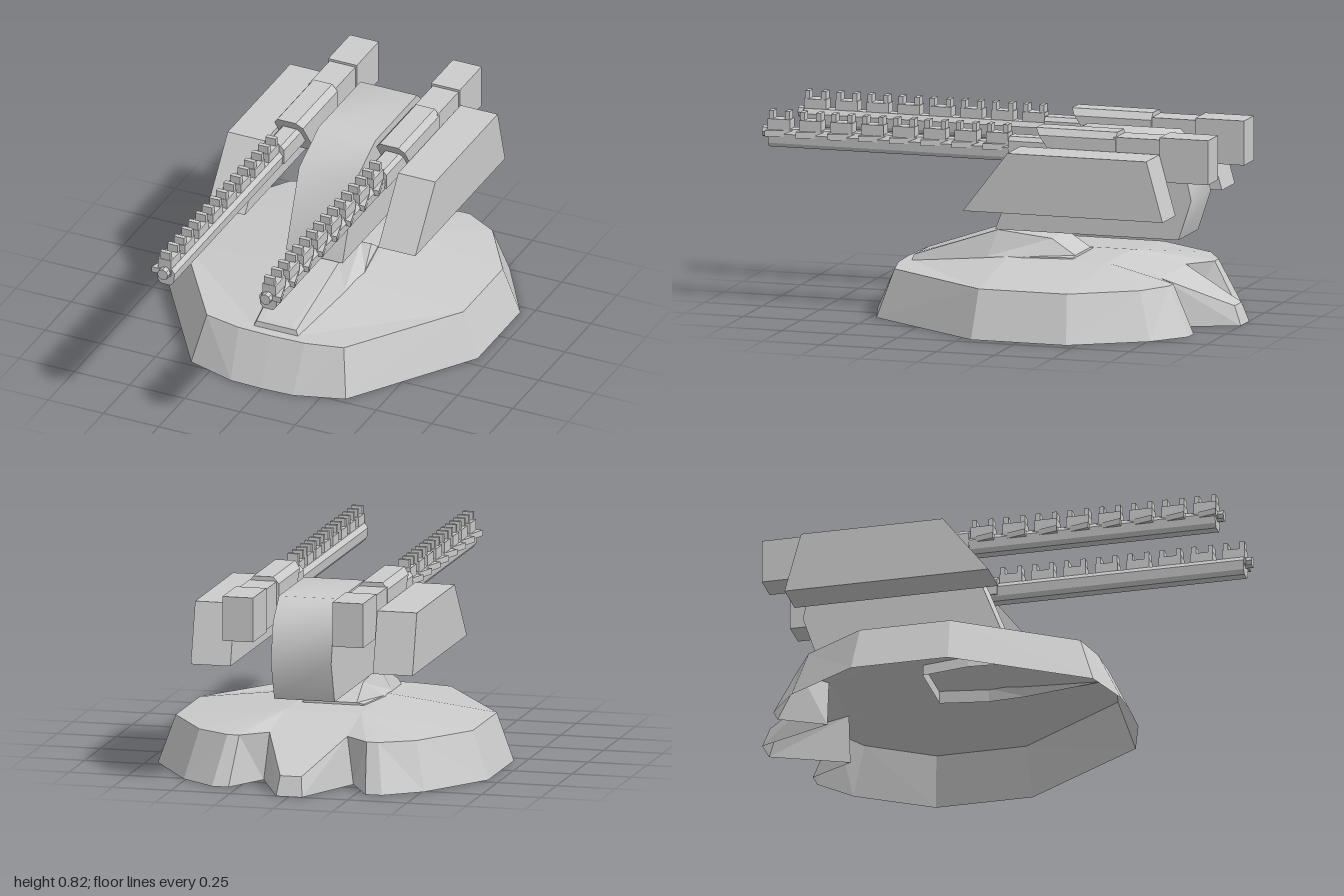
import * as THREE from 'three';
import { toCreasedNormals } from 'three/addons/utils/BufferGeometryUtils.js';

const grey = new THREE.MeshStandardMaterial({ color: 0xcccccc, flatShading: true });
const smooth = new THREE.MeshStandardMaterial({ color: 0xcccccc });
const shell = new THREE.MeshStandardMaterial({ color: 0xcccccc, flatShading: true, side: THREE.DoubleSide });

function part(name, geometry, material = grey) {
  const mesh = new THREE.Mesh(geometry, material);
  mesh.name = name;
  return mesh;
}

// Extrude an outline along an axis: x takes [z,y], y takes [x,z], z takes [x,y]
function prism(axis, pts, lo, hi) {
  const shape = new THREE.Shape(pts.map(p => new THREE.Vector2(p[0], p[1])));
  const g = new THREE.ExtrudeGeometry(shape, { depth: hi - lo, bevelEnabled: false });
  if (axis === 'x') return g.rotateY(-Math.PI / 2).translate(hi, 0, 0);
  if (axis === 'y') return g.rotateX(Math.PI / 2).translate(0, hi, 0);
  return g.translate(0, 0, lo);
}

function block(x0, x1, y0, y1, z0, z1) {
  return new THREE.BoxGeometry(x1 - x0, y1 - y0, z1 - z0)
    .translate((x0 + x1) / 2, (y0 + y1) / 2, (z0 + z1) / 2);
}

// Fan-triangulated faces of the +x half, mirrored to the other half
function mirroredFaces(faces) {
  const out = [];
  for (const s of [1, -1]) {
    for (const f of faces) {
      for (let i = 1; i < f.length - 1; i++) {
        const tri = s > 0 ? [f[0], f[i], f[i + 1]] : [f[0], f[i + 1], f[i]];
        tri.forEach(p => out.push(p[0] * s, p[1], p[2]));
      }
    }
  }
  const g = new THREE.BufferGeometry();
  g.setAttribute('position', new THREE.Float32BufferAttribute(out, 3));
  g.computeVertexNormals();
  return g;
}

// Hollow base: sloped rim, raised deck, notched rear with a wedge tail
function makeBase() {
  const foot = [[0, .545], [.14, .54], [.35, .475], [.7, -.05], [.7, -.46], [.51, -.76], [.36, -.875], [.29, -.875]]
    .map(([x, z]) => [x, 0, z]);
  const rim = [[0, .45], [.15, .445], [.31, .41], [.63, -.06], [.63, -.44], [.46, -.7], [.32, -.78], [.27, -.78]]
    .map(([x, z]) => [x, .2, z]);
  const faces = [];
  for (let i = 0; i < foot.length - 1; i++) faces.push([foot[i], foot[i + 1], rim[i + 1], rim[i]]);

  const front = [.1, .2, .4], frontMid = [0, .2, .4];
  const deckF = [.16, .25, -.03], deckB = [.16, .25, -.46];
  const midF = [0, .25, -.03], midB = [0, .25, -.46];
  const root = [.165, .2, -.69], rootMid = [0, .2, -.69], rootFoot = [.19, 0, -.69];
  const tip = [.045, .08, -.97], tipMid = [0, .08, -.97], toe = [.055, 0, -1], toeMid = [0, 0, -1];
  const [t0, t1, t2, t3, t4, t5, t6, t7] = rim;
  faces.push(
    [frontMid, t0, t1, front], [front, t1, t2], [front, t2, t3, deckF], [frontMid, front, deckF, midF],
    [deckF, t3, t4], [deckF, t4, deckB], [deckB, t4, t5], [deckB, t5, t6, t7, root],
    [midF, deckF, deckB, midB], [midB, deckB, root, rootMid],
    // notch wall, tail top, tail side and tail end
    [t7, foot[7], rootFoot, root], [rootMid, root, tip, tipMid],
    [root, rootFoot, toe, tip], [tipMid, tip, toe, toeMid]
  );
  return part('base', mirroredFaces(faces), shell);
}

// Faceted pedestal: low skirt, then a wedge rising to the turret body
function makePedestal() {
  const skirt = [[.1, .2, .405], [.165, .2, .06], [.175, .2, -.1], [.14, .2, -.3]];
  const lower = [[.09, .222, .4], [.15, .245, .06], [.165, .255, -.1], [.13, .255, -.3]];
  const upper = [[.065, .23, .385], [.108, .35, .03], [.1, .325, -.2], [.1, .26, -.3]];
  const faces = [];
  const mid = p => [0, p[1], p[2]];
  for (const [a, b] of [[skirt, lower], [lower, upper]]) {
    for (let i = 0; i < 3; i++) faces.push([a[i], a[i + 1], b[i + 1], b[i]]);
    faces.push([mid(a[0]), a[0], b[0], mid(b[0])], [a[3], mid(a[3]), mid(b[3]), b[3]]);
  }
  for (let i = 0; i < 3; i++) faces.push([mid(upper[i]), upper[i], upper[i + 1], mid(upper[i + 1])]);
  return part('pedestal', mirroredFaces(faces), shell);
}

function makeGun(s) {
  const gun = new THREE.Group();
  gun.name = s > 0 ? 'leftGun' : 'rightGun';
  const cx = .232 * s;
  const profile = pts => pts.map(([x, y]) => [cx + x * s, y]);
  const span = (a, b) => (s > 0 ? [a, b] : [-b, -a]);
  const box = (a, b, ...rest) => block(...span(a, b), ...rest);

  gun.add(part('rearBlock', box(.168, .298, .625, .81, -.94, -.73)));
  gun.add(part('rearHousing', box(.175, .292, .63, .8, -.74, -.53)));

  // Chamfered receiver with an undercut front
  const receiver = prism('z', profile([[-.066, .622], [.063, .622], [.063, .79], [.042, .818], [-.042, .818], [-.066, .79]]), -.54, -.19);
  const p = receiver.attributes.position;
  for (let i = 0; i < p.count; i++) {
    if (p.getZ(i) > -.3) p.setZ(i, -.19 - Math.max(0, .815 - p.getY(i)) * .7);
  }
  receiver.computeVertexNormals();
  gun.add(part('receiver', receiver));

  // Barrel, shroud and muzzle
  gun.add(part('barrel', prism('z',
    profile([[-.022, .668], [.022, .668], [.036, .685], [.04, .725], [.026, .745], [-.026, .745], [-.04, .725], [-.036, .685]]), -.3, .97)));
  gun.add(part('shroud', prism('z',
    profile([[-.045, .69], [.045, .69], [.045, .755], [.03, .772], [-.03, .772], [-.045, .755]]), -.3, -.07)));
  gun.add(part('muzzle', new THREE.CylinderGeometry(.024, .024, .06, 8).rotateX(Math.PI / 2).translate(cx, .728, .97)));

  // Repeating rail segments: flared fin, lug and two small studs
  for (let i = 0; i < 8; i++) {
    const z = -.07 + i * .1345;
    const fin = [[.205, z - .005], [.262, z - .005], [.293, z + .105], [.205, z + .105]].map(([x, d]) => [x * s, d]);
    gun.add(part('railFin', prism('y', fin, .715, .74)));
    gun.add(part('railLug', box(.207, .266, .735, .785, z + .005, z + .1)));
    for (const d of [.008, .078]) gun.add(part('railStud', box(.212, .258, .78, .818, z + d, z + d + .02)));
  }
  return gun;
}

export function createModel() {
  const model = new THREE.Group();
  model.name = 'turret';
  model.add(makeBase(), makePedestal());

  // Central body with softly bent front and rear
  const bodySide = [[.036, .355], [-.09, .68], [-.28, .77], [-.68, .77], [-.775, .68], [-.81, .52], [-.755, .355]];
  model.add(part('body', toCreasedNormals(prism('x', bodySide, -.128, .128), .8), smooth));

  // Side pods and guns
  const podSide = [[.062, .49], [-.13, .74], [-.73, .74], [-.8, .49]];
  for (const s of [1, -1]) {
    model.add(part(s > 0 ? 'leftPod' : 'rightPod', prism('x', podSide, s > 0 ? .302 : -.47, s > 0 ? .47 : -.302)));
    model.add(makeGun(s));
  }
  return model;
}
